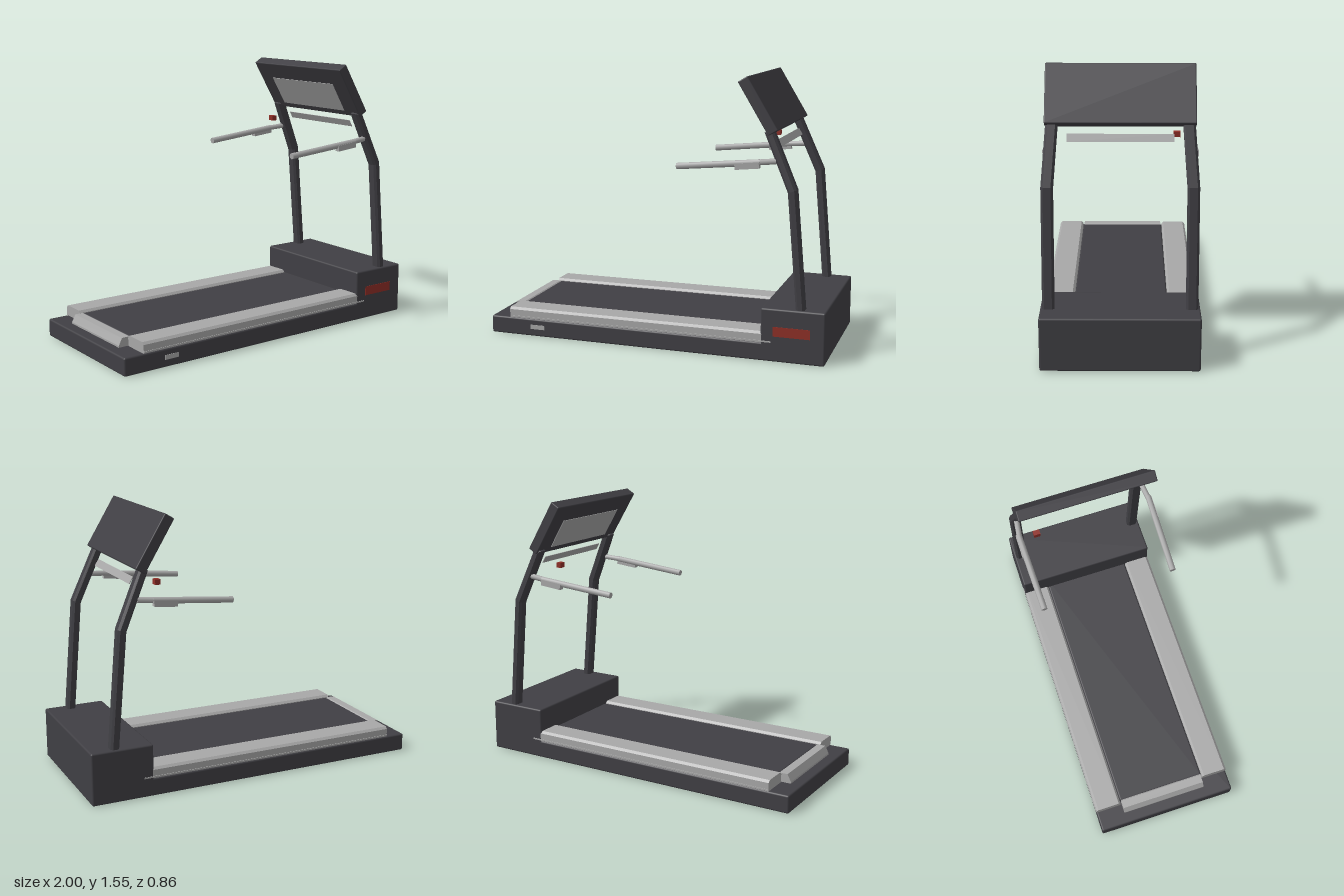
import * as THREE from 'three';
import { RoundedBoxGeometry } from 'three/addons/geometries/RoundedBoxGeometry.js';

const mat = (name, color) => {
  const m = new THREE.MeshStandardMaterial({ color });
  m.name = name;
  return m;
};

export function createModel() {
  const charcoal = mat('charcoal', 0x403f44);
  const grey = mat('light grey', 0xa8a8a8);
  const red = mat('red', 0x8f2f27);

  const root = new THREE.Group();
  root.name = 'treadmill';

  const add = (name, geometry, material, parent = root) => {
    const mesh = new THREE.Mesh(geometry, material);
    mesh.name = name;
    parent.add(mesh);
    return mesh;
  };
  // Box given by its min and max corners, with optional rounded edges
  const box = (name, a, b, material, radius = 0, parent = root) => {
    const s = b.map((v, i) => v - a[i]);
    const g = radius ? new RoundedBoxGeometry(...s, 2, radius) : new THREE.BoxGeometry(...s);
    const mesh = add(name, g, material, parent);
    mesh.position.set(...a.map((v, i) => (v + b[i]) / 2));
    return mesh;
  };
  const shape = (pts) => new THREE.Shape(pts.map(([x, y]) => new THREE.Vector2(x, y)));

  // Deck, motor hood and belt, the belt nearly level with the rails
  box('deckBase', [-1, 0, -0.425], [1, 0.103, 0.425], charcoal, 0.01);
  box('motorHood', [0.642, 0.03, -0.425], [1, 0.3, 0.425], charcoal, 0.01);
  box('runningBelt', [-0.862, 0.09, -0.266], [0.7, 0.152, 0.266], charcoal, 0.01);

  // Sloped rear cover behind the belt
  const cover = new THREE.ExtrudeGeometry(
    shape([[-0.935, 0.1], [-0.858, 0.1], [-0.858, 0.148], [-0.866, 0.154], [-0.914, 0.154], [-0.935, 0.113]]),
    { depth: 0.52, bevelEnabled: false });
  cover.translate(0, 0, -0.26);
  add('rearCover', cover, grey);

  // Foot rails with chamfered top edges, profile drawn across z
  const railProfile = [[0.268, 0.104], [0.424, 0.104], [0.424, 0.152], [0.411, 0.165], [0.28, 0.165], [0.268, 0.152]];
  for (const side of [1, -1]) {
    const pts = railProfile.map(([z, y]) => [-z * side, y]);
    const rail = new THREE.ExtrudeGeometry(shape(pts), { depth: 1.58, bevelEnabled: false });
    rail.rotateY(Math.PI / 2);
    rail.translate(-0.88, 0, 0);
    add(side > 0 ? 'leftRail' : 'rightRail', rail, grey);
    // Thin lip along the foot of the rail, running a little past the hood front
    box('railLip', [-0.878, 0.108, side * 0.418 - 0.01], [0.7, 0.116, side * 0.418 + 0.01], grey);
  }

  // Bent uprights: beveled side outline, upper part leaning inward
  const c = 0.012;
  const post = [[0.846, 0.28], [0.787, 0.945], [0.653, 1.254], [0.675, 1.27], [0.812, 0.955], [0.872, 0.28]];
  for (const side of [1, -1]) {
    const g = new THREE.ExtrudeGeometry(shape(post),
      { depth: 0.041, bevelEnabled: true, bevelThickness: c, bevelSize: c, bevelSegments: 1 });
    g.translate(0, 0, -0.0205);
    const p = g.attributes.position;
    for (let i = 0; i < p.count; i++) {
      const lean = Math.max(0, p.getY(i) - 0.95) * 0.07;
      p.setZ(i, p.getZ(i) + side * (0.381 - lean));
    }
    g.computeVertexNormals();
    add(side > 0 ? 'leftUpright' : 'rightUpright', g, charcoal);
  }

  // Tilted console with the display panel on the runner's side
  const consoleGroup = new THREE.Group();
  consoleGroup.name = 'console';
  consoleGroup.position.set(0.602, 1.399, 0);
  consoleGroup.rotation.z = 0.545;
  root.add(consoleGroup);
  box('consoleBody', [-0.031, -0.166, -0.397], [0.031, 0.166, 0.397], charcoal, 0.006, consoleGroup);
  box('displayPanel', [-0.034, -0.13, -0.28], [-0.029, 0.06, 0.28], grey, 0, consoleGroup);

  // Cross plate between the uprights, and the stop key beside it
  const plate = box('crossPlate', [0.695, 1.168, -0.28], [0.698, 1.212, 0.28], grey);
  plate.rotation.z = 0.53;
  box('stopKey', [0.544, 1.161, -0.319], [0.574, 1.191, -0.281], red);

  // Handrails with sensor grips
  const tube = (name, a, b, radius, parent) => {
    const from = new THREE.Vector3(...a), to = new THREE.Vector3(...b);
    const dir = to.clone().sub(from);
    const g = new THREE.CylinderGeometry(radius, radius, dir.length(), 8);
    const mesh = add(name, g, grey, parent);
    mesh.position.copy(from).lerp(to, 0.5);
    mesh.quaternion.setFromUnitVectors(new THREE.Vector3(0, 1, 0), dir.normalize());
  };
  for (const side of [1, -1]) {
    const handrail = new THREE.Group();
    handrail.name = side > 0 ? 'leftHandrail' : 'rightHandrail';
    root.add(handrail);
    tube('grip', [0.147, 1.054, side * 0.387], [0.62, 1.098, side * 0.397], 0.018, handrail);
    tube('bracket', [0.6, 1.097, side * 0.396], [0.705, 1.106, side * 0.383], 0.016, handrail);
    const sensor = box('sensorGrip', [0.482, 1.06, side * 0.4 - 0.015], [0.618, 1.094, side * 0.4 + 0.015], grey, 0, handrail);
    sensor.rotation.z = 0.1;
  }

  // Side labels
  box('redLabel', [0.712, 0.145, 0.42], [0.918, 0.2, 0.4275], red);
  box('greyTag', [-0.747, 0.043, 0.42], [-0.66, 0.069, 0.4275], grey);

  return root;
}
